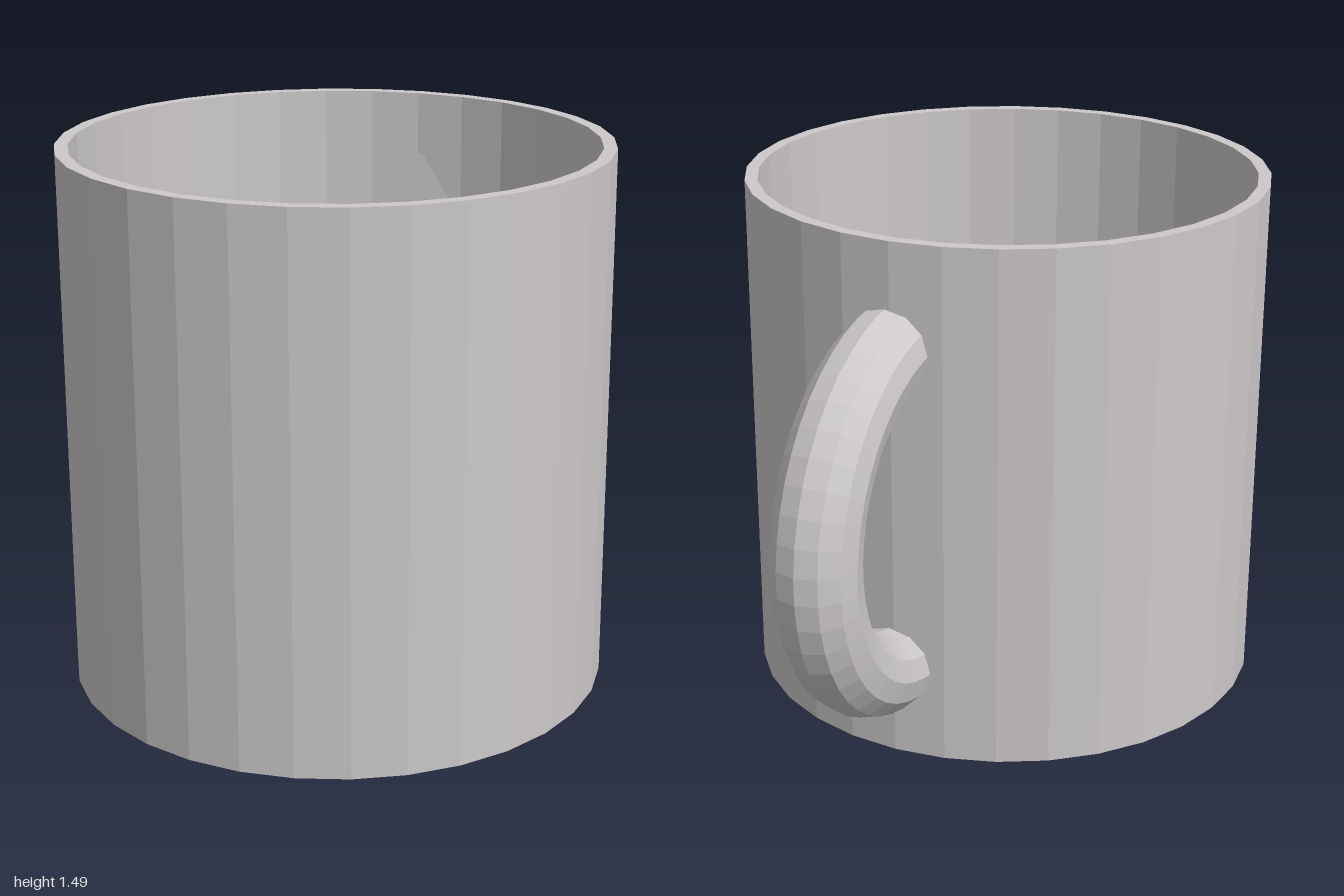
import * as THREE from 'three';
import { mergeGeometries } from 'three/addons/utils/BufferGeometryUtils.js';

const HEIGHT = 1.49, OUTER = 0.743, INNER = 0.707, FLOOR = 0.04;
const RING = 0.47, TUBE = 0.118, ARC = THREE.MathUtils.degToRad(172.5);

// flat disc closing one end of the handle (side = 1 top, -1 bottom)
function handleEnd(side) {
  return new THREE.CircleGeometry(TUBE, 12)
    .rotateX(-side * Math.PI / 2)
    .translate(RING, 0, 0)
    .rotateZ(side * ARC / 2);
}

export function createModel() {
  const model = new THREE.Group();
  model.name = 'mug';
  const ceramic = new THREE.MeshStandardMaterial({ color: 0xcdc9cb, flatShading: true });
  ceramic.name = 'light grey ceramic';

  // hollow cup: base, outer wall, rim, inner wall, floor
  const profile = [
    [0, 0], [OUTER, 0], [OUTER, HEIGHT], [INNER, HEIGHT], [INNER, FLOOR], [0, FLOOR],
  ].map(([x, y]) => new THREE.Vector2(x, y));
  const cup = new THREE.Mesh(new THREE.LatheGeometry(profile, 32), ceramic);
  cup.name = 'cup';
  cup.position.z = 0.255;
  model.add(cup);

  // handle: a little under half a ring, its ends just piercing the wall
  const handleGeometry = mergeGeometries([
    new THREE.TorusGeometry(RING, TUBE, 12, 23, ARC).rotateZ(-ARC / 2),
    handleEnd(1),
    handleEnd(-1),
  ]).rotateY(Math.PI / 2);
  const handle = new THREE.Mesh(handleGeometry, ceramic);
  handle.name = 'handle';
  handle.position.set(0.013, 0.723, -0.412);
  model.add(handle);

  return model;
}
